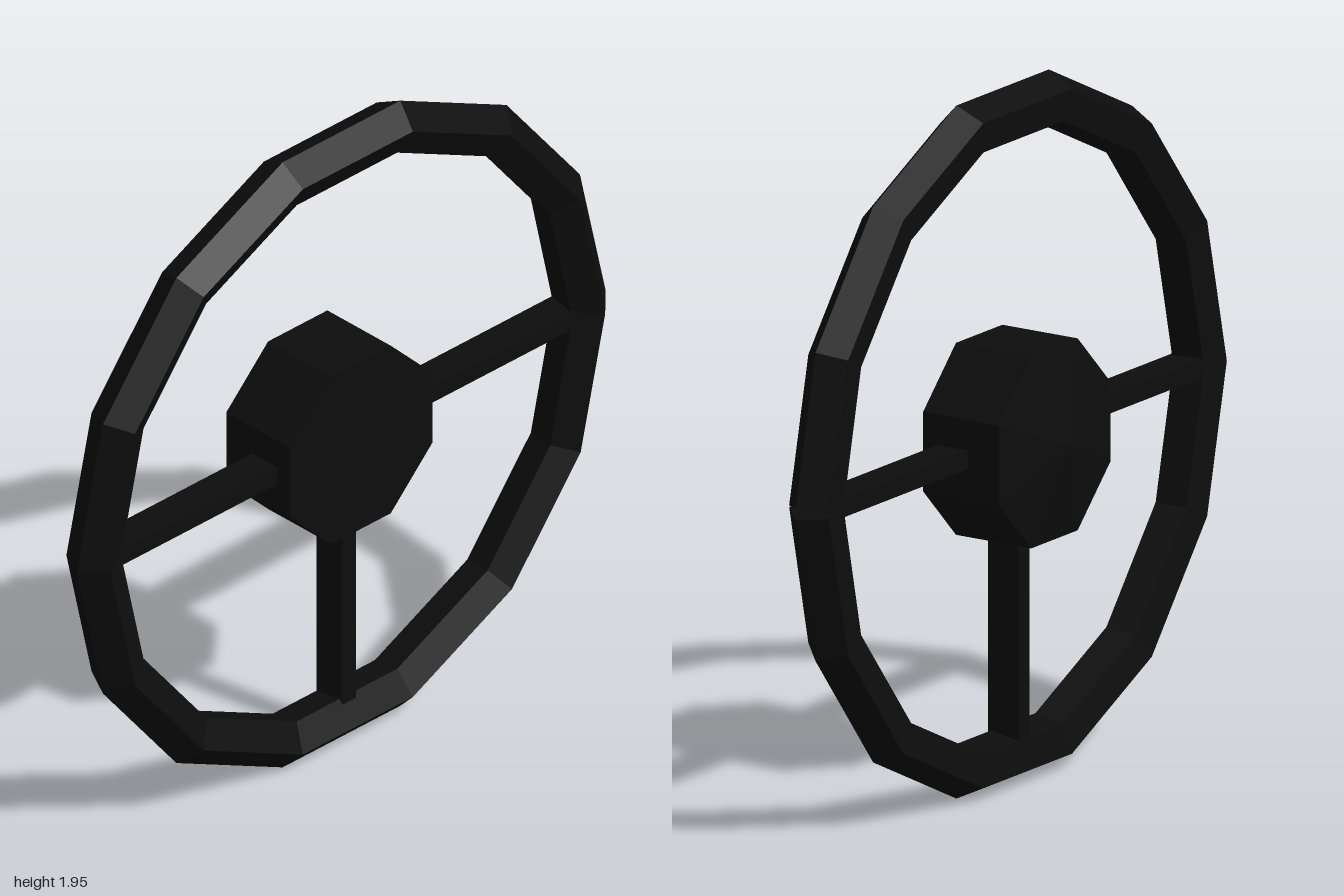
import * as THREE from 'three';

const CENTRE_Y = 0.975;

// Rim: pentagonal section swept round 14 straight segments, with square-cut ends meeting at +x
function rimGeometry() {
  const segments = 14, sides = 5, radius = 0.923, tube = 0.078, zMid = 0.057;
  const step = (Math.PI * 2) / segments;
  const pos = [], index = [];
  for (let i = 0; i <= segments; i++) {
    const a = i * step;
    const tilt = i === 0 ? step / 2 : i === segments ? -step / 2 : 0;
    for (let j = 0; j < sides; j++) {
      const p = 0.17 + (j / sides) * Math.PI * 2;
      const r = tube * Math.cos(p);
      pos.push(
        radius * Math.cos(a) + r * Math.cos(a + tilt),
        radius * Math.sin(a) + r * Math.sin(a + tilt),
        zMid + tube * Math.sin(p)
      );
    }
  }
  for (let i = 0; i < segments; i++) {
    for (let j = 0; j < sides; j++) {
      const k = (j + 1) % sides;
      const a = i * sides + j, b = a + sides, c = i * sides + k, d = c + sides;
      index.push(a, b, c, b, d, c);
    }
  }
  // End caps
  const last = segments * sides;
  for (let j = 1; j < sides - 1; j++) {
    index.push(0, j, j + 1, last, last + j + 1, last + j);
  }
  const g = new THREE.BufferGeometry();
  g.setAttribute('position', new THREE.Float32BufferAttribute(pos, 3));
  g.setIndex(index);
  const flat = g.toNonIndexed();
  flat.computeVertexNormals();
  return flat;
}

export function createModel() {
  const group = new THREE.Group();
  const black = new THREE.MeshStandardMaterial({ color: 0x0d0d0d, flatShading: true });
  black.name = 'black';

  const add = (name, geometry) => {
    const mesh = new THREE.Mesh(geometry, black);
    mesh.name = name;
    mesh.position.y = CENTRE_Y;
    group.add(mesh);
    return mesh;
  };

  add('rim', rimGeometry());

  // Octagonal hub: flat front, straight sides, shallow pyramid at the back
  const corner = 0.27 / Math.cos(Math.PI / 8);
  const profile = [[0, -0.147], [corner, -0.1], [corner, 0.147], [0, 0.147]]
    .map(([r, z]) => new THREE.Vector2(r, z));
  const hub = new THREE.LatheGeometry(profile, 8);
  hub.rotateY(Math.PI / 8);
  hub.rotateX(Math.PI / 2);
  add('hub', hub);

  // Three spokes from the hub into the rim
  const spokes = [['leftSpoke', 0], ['rightSpoke', Math.PI], ['lowerSpoke', -Math.PI / 2]];
  for (const [name, angle] of spokes) {
    const g = new THREE.BoxGeometry(0.67, 0.052, 0.1);
    g.translate(0.545, 0, 0.05);
    add(name, g).rotation.z = angle;
  }

  return group;
}
